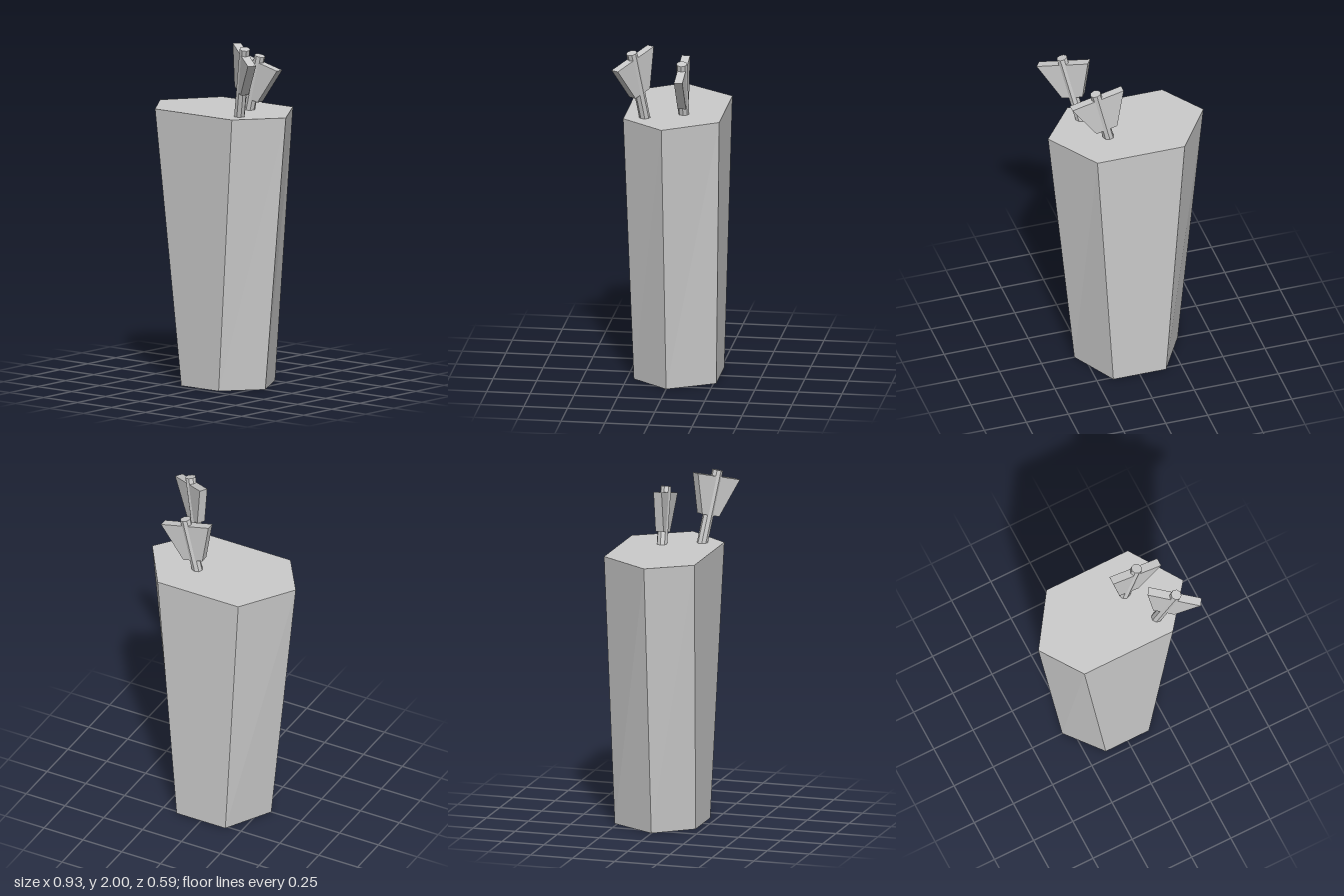
import * as THREE from 'three';

const material = new THREE.MeshStandardMaterial({ color: 0xcccccc, flatShading: true });

// Six-sided tapered case, closed at both ends; corners as [x, z], seen from above
function createCase() {
  const height = 1.583;
  const top = [[-0.465, 0.005], [-0.298, 0.252], [0.267, 0.252], [0.46, 0.005], [0.262, -0.298], [-0.257, -0.298]];
  const bottom = [[-0.31, 0], [-0.14, 0.21], [0.135, 0.21], [0.305, 0], [0.157, -0.266], [-0.157, -0.266]];
  const t = top.map(([x, z]) => [x, height, z]);
  const b = bottom.map(([x, z]) => [x, 0, z]);
  const n = t.length;
  const points = [];
  for (let i = 0; i < n; i++) {
    const j = (i + 1) % n;
    points.push(b[i], b[j], t[j], b[i], t[j], t[i]);
    if (i > 0 && i < n - 1) points.push(t[0], t[i], t[j], b[0], b[j], b[i]);
  }
  const geometry = new THREE.BufferGeometry();
  geometry.setAttribute('position', new THREE.Float32BufferAttribute(points.flat(), 3));
  geometry.computeVertexNormals();
  const mesh = new THREE.Mesh(geometry, material);
  mesh.name = 'quiverCase';
  return mesh;
}

// Arrow with its origin at the top centre of the fletching
function createArrow(name, position, tilt, yaw) {
  const arrow = new THREE.Group();
  arrow.name = name;

  const length = 0.5, nock = 0.035;
  const shaft = new THREE.Mesh(new THREE.CylinderGeometry(0.031, 0.031, length, 8), material);
  shaft.position.y = nock - length / 2;
  shaft.name = 'shaft';

  // Flat fletching, wider at the top
  const outline = new THREE.Shape([[-0.157, 0], [-0.063, -0.225], [0.063, -0.225], [0.157, 0]]
    .map(([x, y]) => new THREE.Vector2(x, y)));
  const thickness = 0.048;
  const vane = new THREE.ExtrudeGeometry(outline, { depth: thickness, bevelEnabled: false });
  vane.translate(0, 0, -thickness / 2);
  const fletching = new THREE.Mesh(vane, material);
  fletching.name = 'fletching';

  arrow.add(shaft, fletching);
  arrow.position.set(...position);
  arrow.rotation.set(0, -yaw, -tilt);
  return arrow;
}

export function createModel() {
  const model = new THREE.Group();
  model.name = 'quiver';
  model.add(
    createCase(),
    createArrow('backArrow', [0.195, 1.868, -0.075], 0.235, 0),
    createArrow('frontArrow', [0.309, 1.956, 0.191], 0.265, 0.595)
  );
  return model;
}
